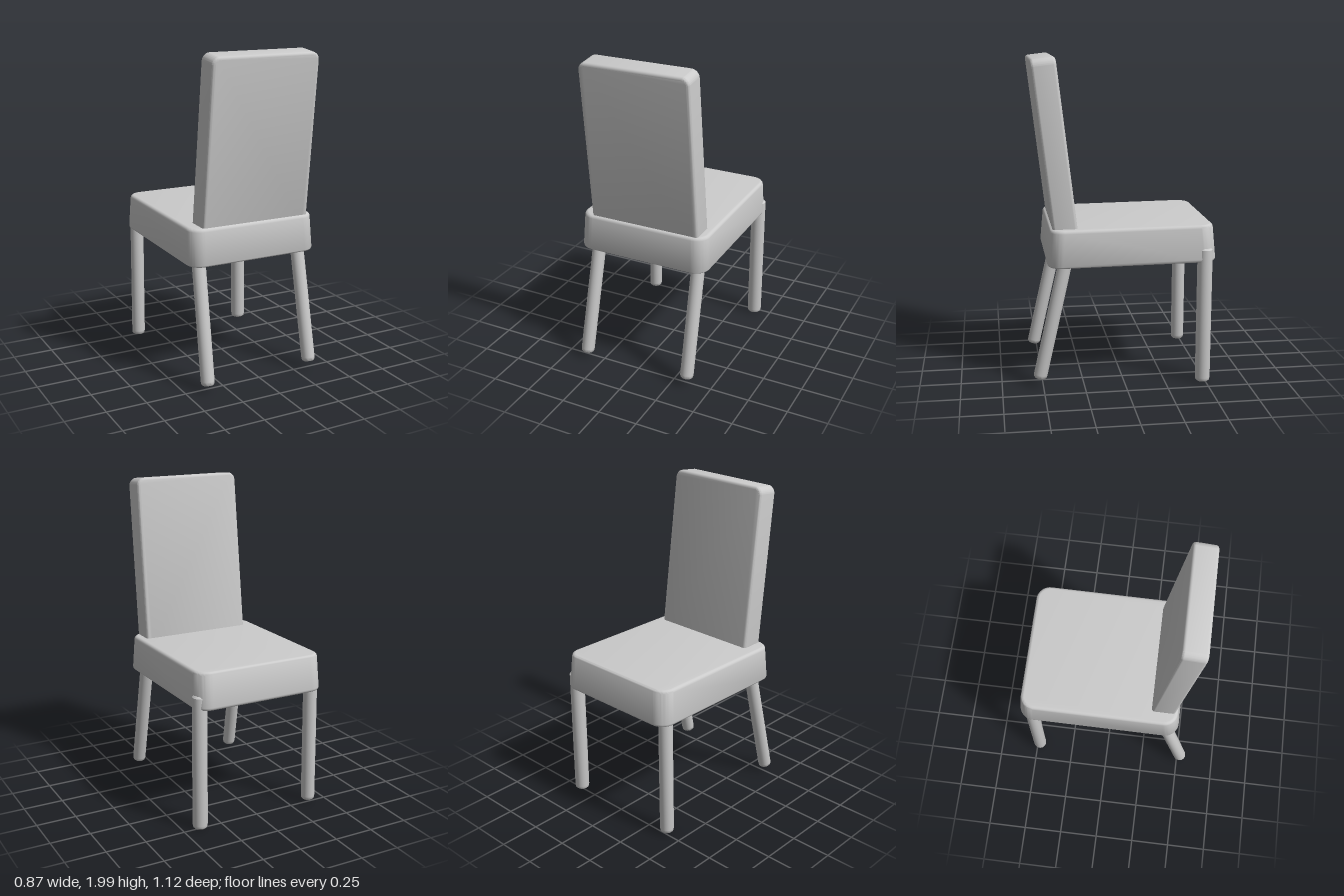
import * as THREE from 'three';
import { toCreasedNormals } from 'three/addons/utils/BufferGeometryUtils.js';

const material = new THREE.MeshStandardMaterial({ color: 0xcccccc });

// Centred cushion: rounded rectangle in x/y with rounded edges, thick along z
function cushion(w, h, thick, radius, bevel) {
  const x = w / 2 - bevel, y = h / 2 - bevel, r = radius - bevel;
  const s = new THREE.Shape();
  s.moveTo(-x + r, -y);
  s.lineTo(x - r, -y);
  s.absarc(x - r, -y + r, r, -Math.PI / 2, 0);
  s.absarc(x - r, y - r, r, 0, Math.PI / 2);
  s.absarc(-x + r, y - r, r, Math.PI / 2, Math.PI);
  s.absarc(-x + r, -y + r, r, Math.PI, Math.PI * 1.5);
  const g = new THREE.ExtrudeGeometry(s, {
    depth: thick - 2 * bevel, bevelEnabled: true, bevelSize: bevel,
    bevelThickness: bevel, bevelSegments: 4, curveSegments: 8,
  });
  return g.translate(0, 0, -thick / 2 + bevel);
}

// Move every vertex by a rule
function reshape(g, rule) {
  const p = g.attributes.position, v = new THREE.Vector3();
  for (let i = 0; i < p.count; i++) {
    rule(v.fromBufferAttribute(p, i));
    p.setXYZ(i, v.x, v.y, v.z);
  }
  return toCreasedNormals(g, 0.7);
}

function add(group, name, geometry) {
  const mesh = new THREE.Mesh(geometry, material);
  mesh.name = name;
  group.add(mesh);
  return mesh;
}

// Round leg with softened foot, running from foot to top
function addLeg(group, name, foot, top, r) {
  const a = new THREE.Vector3(...foot), b = new THREE.Vector3(...top);
  const dir = b.clone().sub(a), len = dir.length();
  const profile = [[0, 0], [r * 0.75, 0], [r * 0.94, 0.008], [r, 0.025], [r, len - 0.01], [r - 0.01, len], [0, len]]
    .map(([x, y]) => new THREE.Vector2(x, y));
  const leg = add(group, name, toCreasedNormals(new THREE.LatheGeometry(profile, 24), 0.7));
  leg.position.copy(a);
  leg.quaternion.setFromUnitVectors(new THREE.Vector3(0, 1, 0), dir.normalize());
}

export function createModel() {
  const chair = new THREE.Group();
  chair.name = 'chair';

  // Seat: narrows slightly towards the top and rises a little away from the backrest
  const seatGeo = reshape(cushion(0.86, 1.03, 0.23, 0.09, 0.02).rotateX(-Math.PI / 2), (v) => {
    const t = v.y / 0.23 + 0.5;
    v.x *= 1 - 0.025 * t;
    v.z *= 1 - 0.04 * t;
    v.y -= 0.012 * v.z;
  });
  add(chair, 'seat', seatGeo).position.set(-0.004, 0.874, -0.049);

  // Backrest: leans outwards and narrows towards the top
  const backGeo = reshape(cushion(0.715, 1.09, 0.149, 0.05, 0.018), (v) => {
    v.x *= 1 - 0.025 * (v.y / 1.09 + 0.5);
  });
  const back = add(chair, 'backrest', backGeo);
  back.position.set(0.011, 1.449, 0.411);
  back.rotation.x = 0.117;

  // Upright legs at the open end of the seat
  addLeg(chair, 'uprightLegLeft', [0.387, 0.004, -0.486], [0.387, 0.85, -0.49], 0.046);
  addLeg(chair, 'uprightLegRight', [-0.387, 0.018, -0.482], [-0.38, 0.85, -0.485], 0.043);

  // Splayed legs under the backrest
  addLeg(chair, 'splayedLegLeft', [0.345, 0.055, 0.52], [0.342, 0.85, 0.34], 0.042);
  addLeg(chair, 'splayedLegRight', [-0.363, 0.04, 0.522], [-0.338, 0.85, 0.34], 0.042);

  return chair;
}
